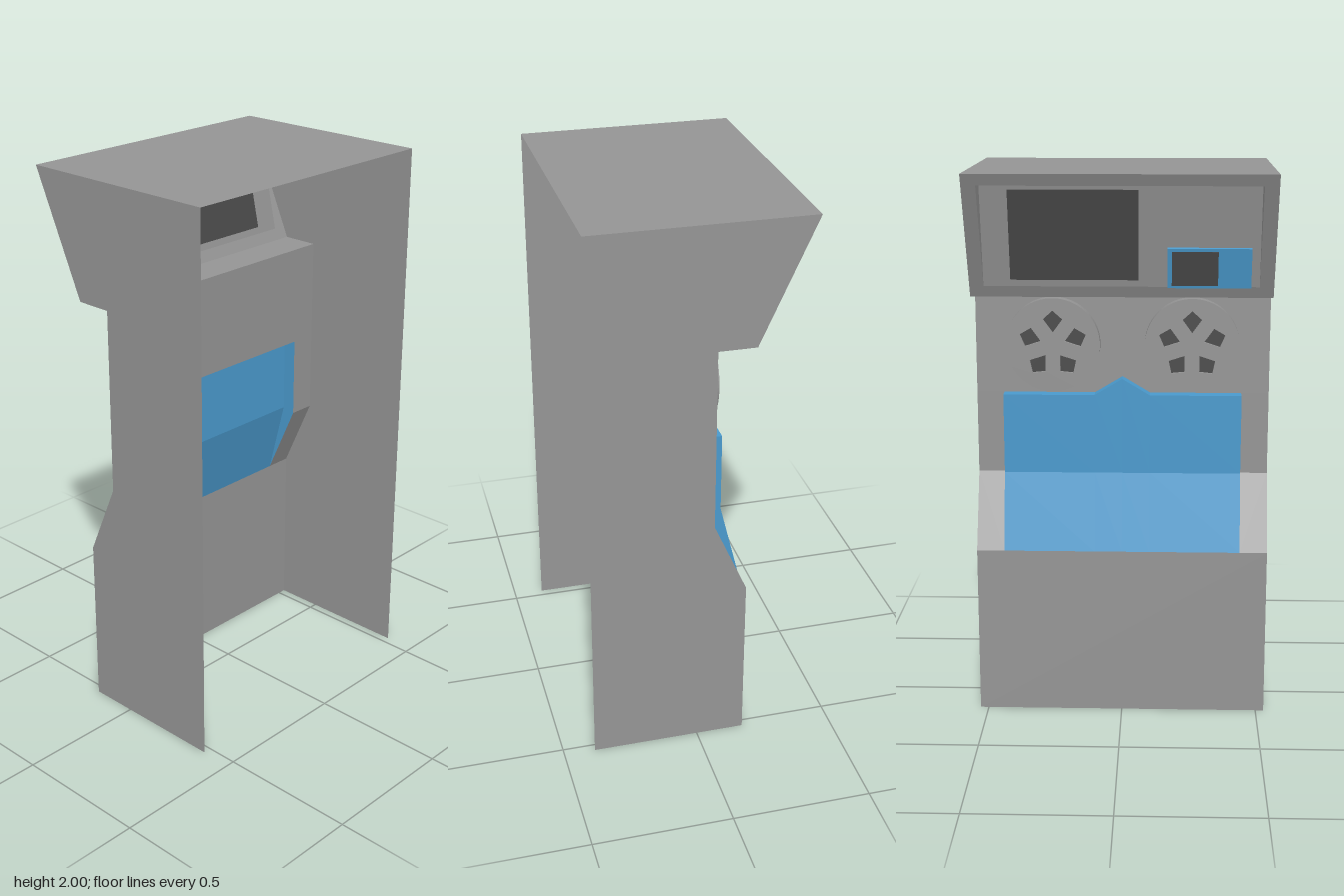
import * as THREE from 'three';

const grey = new THREE.MeshStandardMaterial({ color: 0x959595, side: THREE.DoubleSide });
grey.name = 'cabinetGrey';
const blue = new THREE.MeshStandardMaterial({ color: 0x4a9acd, side: THREE.DoubleSide });
blue.name = 'panelBlue';
const dark = new THREE.MeshStandardMaterial({ color: 0x4a4a4a, side: THREE.DoubleSide });
dark.name = 'darkGrey';

// Flat-faced sheet stretched between two matching rows of [x, y, z] points
function sheet(rowA, rowB) {
  const pos = [];
  for (let i = 0; i < rowA.length - 1; i++) {
    const a = rowA[i], b = rowA[i + 1], c = rowB[i + 1], d = rowB[i];
    pos.push(...a, ...b, ...c, ...a, ...c, ...d);
  }
  const g = new THREE.BufferGeometry();
  g.setAttribute('position', new THREE.Float32BufferAttribute(pos, 3));
  g.computeVertexNormals();
  return g;
}

// Side profile [x, y] swept straight from z0 to z1
const strip = (profile, z0, z1) =>
  sheet(profile.map(([x, y]) => [x, y, z0]), profile.map(([x, y]) => [x, y, z1]));

const flat = (points) =>
  new THREE.ShapeGeometry(new THREE.Shape(points.map(([x, y]) => new THREE.Vector2(x, y))));

function add(parent, name, geometry, material) {
  const mesh = new THREE.Mesh(geometry, material);
  mesh.name = name;
  parent.add(mesh);
  return mesh;
}

function makeReel() {
  const reel = new THREE.Group();
  const radius = 0.17, depth = 0.04;
  const disc = new THREE.Shape().absarc(0, 0, radius, 0, Math.PI * 2);
  for (let i = 0; i < 5; i++) {
    const mid = Math.PI / 2 + (i * Math.PI * 2) / 5;
    const at = (r, da) => new THREE.Vector2(r * Math.cos(mid + da), r * Math.sin(mid + da));
    disc.holes.push(new THREE.Path([at(0.045, 0), at(0.1, -0.36), at(0.125, 0), at(0.1, 0.36)]));
  }
  add(reel, 'reelDisc', new THREE.ExtrudeGeometry(disc, { depth, bevelEnabled: false, curveSegments: 40 }), grey);
  add(reel, 'reelWindows', new THREE.CircleGeometry(0.14, 32), dark).position.z = depth - 0.012;
  reel.rotation.y = -Math.PI / 2;
  return reel;
}

export function createModel() {
  const model = new THREE.Group();
  model.name = 'arcadeCabinet';
  const W = 0.53, H = 0.43, R = 0.48, back = 0.387;

  // Cabinet shell, open at the rear and underneath
  const cabinet = new THREE.Group();
  cabinet.name = 'cabinet';
  model.add(cabinet);
  const outline = [[back, 0], [-0.175, 0], [-0.175, 0.62], [-0.055, 0.89], [-0.055, 1.56],
    [-0.19, 1.56], [-0.39, 2], [back, 2]];
  for (const s of [-1, 1]) {
    add(cabinet, 'sidePanel', flat(outline), grey).position.z = s * W;
    add(cabinet, 'openingBorder',
      strip([[-0.175, 0.62], [-0.055, 0.89], [-0.055, 1.19]], s * H, s * W), grey);
    add(cabinet, 'marqueeBorder', strip([[-0.208, 1.6], [-0.372, 1.96]], s * R, s * W), grey);
    add(cabinet, 'recessSide', flat([[-0.208, 1.6], [-0.372, 1.96], [-0.288, 1.956]]), grey)
      .position.z = s * R;
  }
  add(cabinet, 'lowerFront', strip([[-0.175, 0], [-0.175, 0.62]], -W, W), grey);
  add(cabinet, 'neckAndLedge',
    strip([[-0.055, 1.19], [-0.055, 1.56], [-0.19, 1.56], [-0.208, 1.6]], -W, W), grey);
  add(cabinet, 'roof', strip([[-0.372, 1.96], [-0.39, 2], [back, 2]], -W, W), grey);
  add(cabinet, 'marqueeRecess',
    strip([[-0.208, 1.6], [-0.288, 1.956], [-0.372, 1.96]], -R, R), grey);

  // Raised blue control panel with a small peak, hollow behind
  const control = new THREE.Group();
  control.name = 'controlPanel';
  model.add(control);
  const crest = [[-H, 1.19], [-0.1, 1.19], [0, 1.25], [0.1, 1.19], [H, 1.19]];
  const row = (x, y) => crest.map(([z, top]) => [x, y ?? top, z]);
  add(control, 'controlTop', sheet(row(-0.055), row(-0.105)), blue);
  add(control, 'controlFace', sheet(row(-0.105), row(-0.105, 0.9)), blue);
  add(control, 'controlSlope', sheet(row(-0.105, 0.9), row(-0.175, 0.62)), blue);
  for (const z of [-H, H]) {
    add(control, 'controlSide', sheet(
      [[-0.105, 1.19, z], [-0.105, 0.9, z], [-0.175, 0.62, z]],
      [[-0.055, 1.19, z], [-0.055, 0.89, z], [-0.175, 0.62, z]]), blue);
  }

  // Two spoked reels on the neck
  for (const z of [-0.25, 0.25]) {
    const reel = makeReel();
    reel.name = 'reel';
    reel.position.set(-0.055, 1.37, z);
    model.add(reel);
  }

  // Grille and display set through the sloping recess
  const marquee = new THREE.Group();
  marquee.name = 'marqueeFittings';
  marquee.position.set(-0.208, 1.6, 0);
  marquee.rotation.z = Math.atan2(0.08, 0.356);
  model.add(marquee);
  const plate = (name, x0, x1, y0, y1, z0, z1, material) => {
    const k = 1 / Math.cos(marquee.rotation.z);
    const box = new THREE.BoxGeometry(x1 - x0, (y1 - y0) * k, z1 - z0);
    add(marquee, name, box, material)
      .position.set((x0 + x1) / 2, ((y0 + y1) / 2 - 1.6) * k, (z0 + z1) / 2);
  };
  plate('grille', -0.005, 0.005, 1.625, 1.94, -0.385, 0.06, dark);
  plate('displayFrame', -0.013, 0.004, 1.6, 1.74, 0.16, 0.45, blue);
  plate('displayScreen', -0.016, 0.007, 1.61, 1.73, 0.175, 0.335, dark);

  return model;
}
